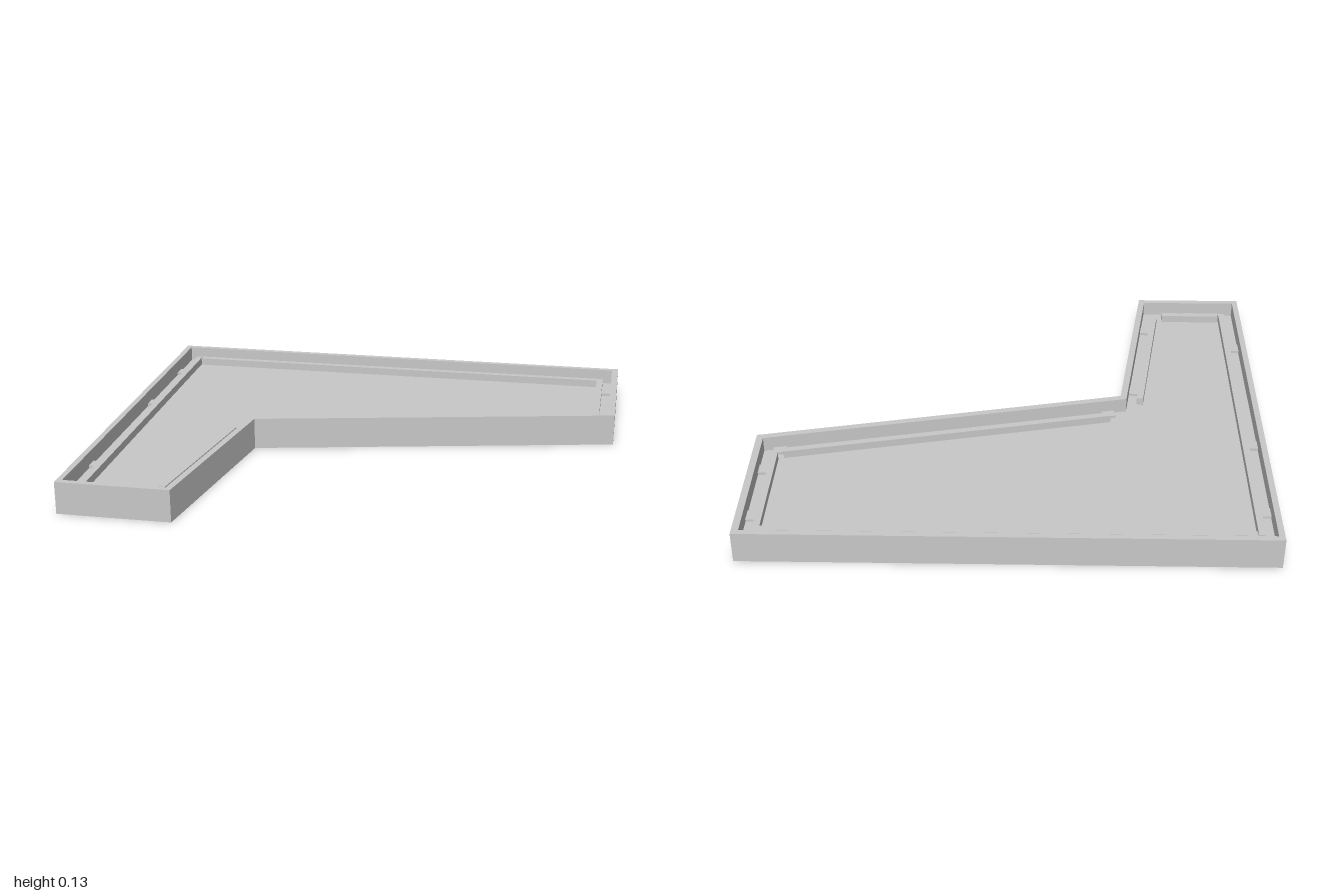
import * as THREE from 'three';

const HEIGHT = 0.127, FLOOR = 0.066, RAIL_TOP = 0.097, SPACER_TOP = 0.077;

// Plan corners as [x, z], running clockwise seen from above
const OUTER = [[-1, -0.853], [1, -0.853], [1, -0.235], [-0.445, 0.07], [-0.56, 0.853], [-1, 0.853]];
const INNER = [[-0.977, -0.829], [0.973, -0.829], [0.973, -0.256], [-0.468, 0.048], [-0.582, 0.829], [-0.977, 0.829]];

// Per wall: rail start and end, and spacer centres, measured along the inner wall
const FITTINGS = [
  { name: 'back', rail: [0.066, 1.886], spacers: [0.295, 0.975, 1.66] },
  { name: 'left', rail: [0.038, 0.518], spacers: [0.15, 0.44] },
  { name: 'slanted', rail: [0.073, 1.391], spacers: [0.062, 1.394] },
  { name: 'inner', rail: [0.058, 0.723], spacers: [0.143, 0.636] },
  { name: 'front', rail: [0.078, 0.328], spacers: [0.201] },
  { name: 'right', rail: [0.039, 1.616], spacers: [0.296, 1.023, 1.454] },
];

const toPoints = (corners) => corners.map(([x, z]) => new THREE.Vector2(x, -z));

// Extrudes a plan shape upwards
function slab(shape, bottom, top) {
  const geometry = new THREE.ExtrudeGeometry(shape, { depth: top - bottom, bevelEnabled: false });
  return geometry.rotateX(-Math.PI / 2).translate(0, bottom, 0);
}

export function createModel() {
  const model = new THREE.Group();
  model.name = 'angledTray';
  const grey = new THREE.MeshStandardMaterial({ color: 0xc8c8c8 });
  grey.name = 'lightGrey';

  function add(parent, name, geometry) {
    const mesh = new THREE.Mesh(geometry, grey);
    mesh.name = name;
    parent.add(mesh);
  }

  // Solid base inside a raised rim; the hole winds opposite to the outline
  add(model, 'base', slab(new THREE.Shape(toPoints(OUTER)), 0, FLOOR));
  const rim = new THREE.Shape(toPoints(OUTER));
  rim.holes.push(new THREE.Path(toPoints(INNER).reverse()));
  add(model, 'rim', slab(rim, FLOOR, HEIGHT));

  // Rails set in from each wall, with low spacers in the channel between
  FITTINGS.forEach(({ name, rail, spacers }, i) => {
    const [x, z] = INNER[i];
    const [nextX, nextZ] = INNER[(i + 1) % INNER.length];
    const group = new THREE.Group();
    group.name = `${name}Fittings`;
    group.position.set(x, 0, z);
    group.rotation.y = -Math.atan2(nextZ - z, nextX - x);
    model.add(group);

    // Local x runs along the wall, local z points into the tray
    const bar = (part, from, to, near, far, top) => {
      const geometry = new THREE.BoxGeometry(to - from, top - FLOOR, far - near);
      geometry.translate((from + to) / 2, (top + FLOOR) / 2, (near + far) / 2);
      add(group, part, geometry);
    };
    bar(`${name}Rail`, rail[0], rail[1], 0.038, 0.064, RAIL_TOP);
    spacers.forEach((s) => bar(`${name}Spacer`, s - 0.026, s + 0.026, 0, 0.038, SPACER_TOP));
  });

  return model;
}
